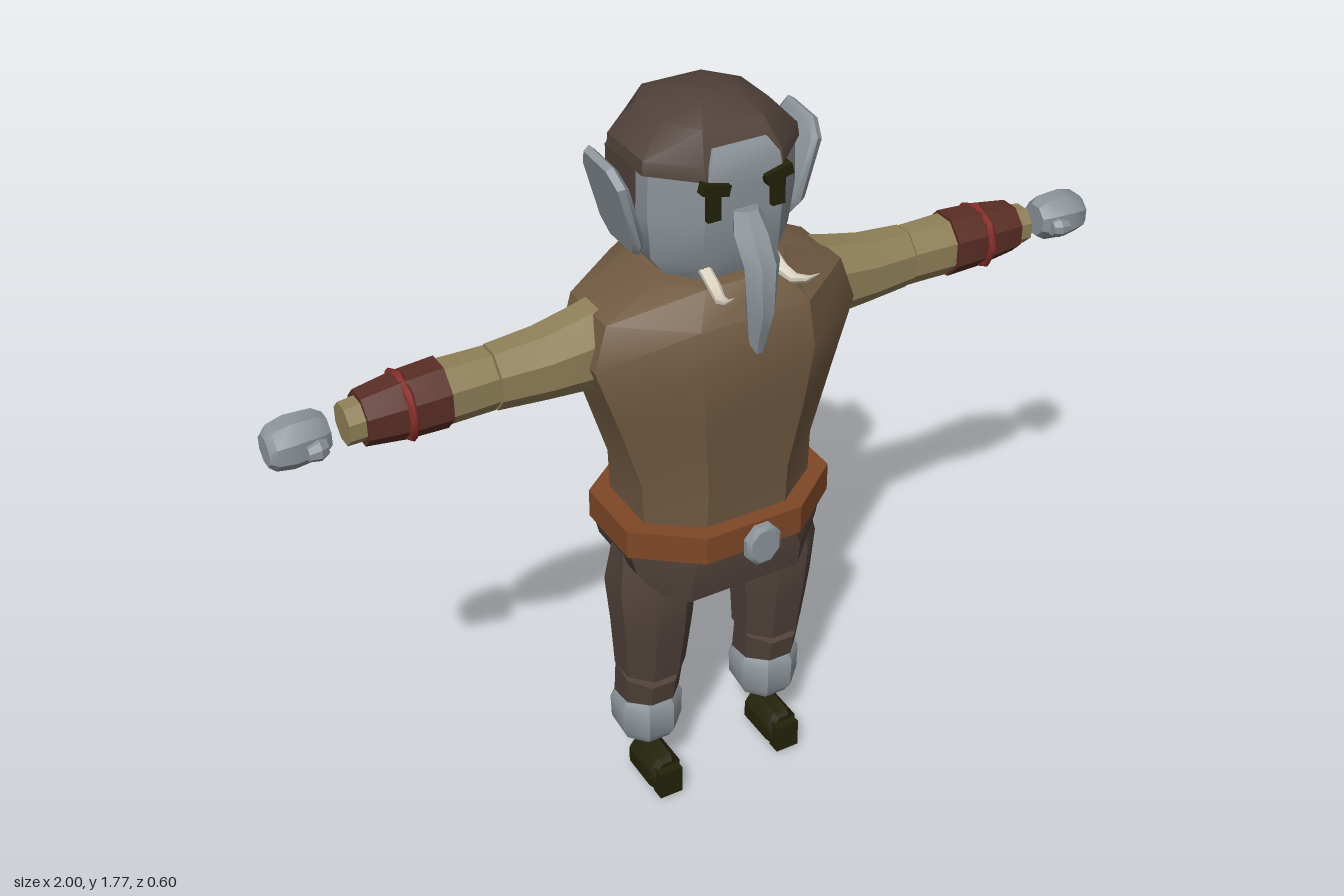
import * as THREE from 'three';
import { toCreasedNormals } from 'three/addons/utils/BufferGeometryUtils.js';

const mat = (name, color, side = THREE.FrontSide) =>
  Object.assign(new THREE.MeshStandardMaterial({ color, side }), { name });

// Skin a solid through cross-sections that share one point count; ends are capped
function loft(rings, crease = 0.6) {
  const n = rings[0].length, last = rings.length - 1;
  let tris = [];
  for (let r = 0; r < last; r++) {
    for (let i = 0; i < n; i++) {
      const j = (i + 1) % n;
      const [a, b, c, d] = [rings[r][i], rings[r][j], rings[r + 1][j], rings[r + 1][i]];
      tris.push([a, b, c], [a, c, d]);
    }
  }
  for (let i = 1; i < n - 1; i++) {
    tris.push([rings[0][0], rings[0][i + 1], rings[0][i]]);
    tris.push([rings[last][0], rings[last][i], rings[last][i + 1]]);
  }
  // Turn the faces outward whichever way the sections run
  const o = new THREE.Vector3(...rings[0][0]);
  let volume = 0;
  for (const t of tris) {
    const [a, b, c] = t.map((p) => new THREE.Vector3(...p).sub(o));
    volume += a.dot(b.cross(c));
  }
  if (volume < 0) tris = tris.map(([a, b, c]) => [a, c, b]);
  const g = new THREE.BufferGeometry();
  g.setAttribute('position', new THREE.Float32BufferAttribute(tris.flat(2), 3));
  return toCreasedNormals(g, crease);
}

// Octagon spanned by two half-axis vectors, flat sides on the axes
function oct(c, u, v) {
  return Array.from({ length: 8 }, (_, i) => {
    const a = ((i + 0.5) * Math.PI) / 4, k = 1 / Math.cos(Math.PI / 8);
    return c.map((e, q) => e + k * (Math.cos(a) * u[q] + Math.sin(a) * v[q]));
  });
}
const octY = (x, y, z, rx, rz) => oct([x, y, z], [rx, 0, 0], [0, 0, rz]);
const octX = (x, y, z, ry, rz) => oct([x, y, z], [0, ry, 0], [0, 0, rz]);

// Horizontal octagon: half width, front and back z, half width of front face, half depth of side face
function slab(y, hx, zf, zb, fx, sz, zc = (zf + zb) / 2) {
  return [[fx, y, zf], [hx, y, zc + sz], [hx, y, zc - sz], [fx, y, zb],
    [-fx, y, zb], [-hx, y, zc - sz], [-hx, y, zc + sz], [-fx, y, zf]];
}

export function createModel() {
  const model = new THREE.Group();
  model.name = 'elephantHeadedFigure';
  const skin = mat('greySkin', 0x8c949a);
  const vest = mat('vestBrown', 0x715a42);
  const dark = mat('darkBrown', 0x50413a);
  const sleeve = mat('khakiSleeve', 0x8f8058);
  const leather = mat('beltLeather', 0x7e4726);
  const bracer = mat('bracerBrown', 0x5a2e25);
  const red = mat('redCord', 0x8a2f2b);
  const black = mat('blackOlive', 0x232209);
  const ivory = mat('ivory', 0xddd5c2);

  const add = (name, geometry, material) => {
    const m = new THREE.Mesh(geometry, material);
    m.name = name;
    model.add(m);
    return m;
  };

  // Torso, belt and hips
  add('torso', loft([
    slab(0.78, 0.21, 0.19, -0.13, 0.1, 0.08), slab(0.93, 0.215, 0.2, -0.14, 0.1, 0.08),
    slab(1.1, 0.268, 0.225, -0.165, 0.12, 0.08), slab(1.25, 0.318, 0.238, -0.182, 0.135, 0.08),
    slab(1.35, 0.285, 0.22, -0.18, 0.13, 0.08), slab(1.415, 0.15, 0.17, -0.14, 0.09, 0.07),
  ]), vest);
  add('belt', loft([
    slab(0.76, 0.26, 0.23, -0.17, 0.12, 0.09), slab(0.83, 0.26, 0.23, -0.17, 0.12, 0.09),
  ]), leather);
  add('hips', loft([
    slab(0.635, 0.19, 0.19, -0.14, 0.14, 0.1), slab(0.7, 0.235, 0.2, -0.15, 0.14, 0.09),
    slab(0.765, 0.25, 0.2, -0.155, 0.12, 0.09),
  ]), dark);
  const plate = (z, hx, hy) => oct([0, 0.795, z], [hx, 0, 0], [0, hy, 0]);
  add('buckle', loft([plate(0.248, 0.034, 0.04), plate(0.255, 0.043, 0.05),
    plate(0.268, 0.043, 0.05), plate(0.276, 0.034, 0.04)]), skin);

  // Head and hair
  add('head', loft([
    slab(1.4, 0.12, 0.13, -0.1, 0.07, 0.05), slab(1.46, 0.165, 0.155, -0.13, 0.09, 0.06),
    slab(1.56, 0.175, 0.165, -0.145, 0.09, 0.07), slab(1.67, 0.172, 0.164, -0.145, 0.09, 0.07),
  ]), skin);
  add('hairCap', loft([
    slab(1.655, 0.184, 0.169, -0.165, 0.09, 0.075), slab(1.685, 0.18, 0.162, -0.163, 0.09, 0.075),
    slab(1.745, 0.125, 0.12, -0.13, 0.07, 0.055), slab(1.775, 0.06, 0.05, -0.06, 0.035, 0.025),
  ]), dark);
  const backHair = (y, hx, zb) => [[hx, y, 0.03], [hx, y, -0.08], [0.09, y, zb],
    [-0.09, y, zb], [-hx, y, -0.08], [-hx, y, 0.03]];
  add('backHair', loft([backHair(1.465, 0.176, -0.158), backHair(1.56, 0.184, -0.165),
    backHair(1.66, 0.184, -0.165)]), dark);
  const brow = (y, hx, z) => [[hx, y, z], [hx, y, z - 0.05], [-hx, y, z - 0.05], [-hx, y, z]];
  add('forehead', loft([brow(1.64, 0.088, 0.172), brow(1.685, 0.08, 0.17),
    brow(1.713, 0.062, 0.152)]), skin);
  const tuft = (x) => [[x, 1.71, -0.15], [x, 1.58, -0.206], [x, 1.61, -0.155]];
  add('hairTuft', loft([tuft(-0.02), tuft(0.02)]), dark);

  // Trunk: y, front z, back z, half width
  add('trunk', loft([
    [1.585, 0.2, 0.15, 0.03], [1.545, 0.232, 0.165, 0.042], [1.49, 0.266, 0.213, 0.042],
    [1.38, 0.268, 0.21, 0.033], [1.32, 0.25, 0.213, 0.025], [1.27, 0.235, 0.222, 0.014],
  ].map(([y, zf, zb, w]) => [[w * 0.4, y, zf], [w, y - 0.005, (zf + zb) / 2], [w * 0.6, y - 0.01, zb],
    [-w * 0.6, y - 0.01, zb], [-w, y - 0.005, (zf + zb) / 2], [-w * 0.4, y, zf]])), skin);

  // Tail
  add('tail', loft([octY(0, 0.76, -0.16, 0.014, 0.014), octY(0, 0.37, -0.27, 0.012, 0.012)]), skin);
  add('tailTip', loft([octY(0, 0.24, -0.285, 0.016, 0.014), octY(0, 0.27, -0.283, 0.024, 0.022),
    octY(0, 0.35, -0.275, 0.024, 0.022), octY(0, 0.405, -0.265, 0.012, 0.012)]), skin);

  for (const s of [1, -1]) {
    const side = s > 0 ? 'left' : 'right';
    const bar = (name, rings, material) => add(side + name, loft(rings), material);

    // Ear: rounded slab leaning outward; z, y outline
    const outline = [[0.05, 1.462], [0.08, 1.5], [0.085, 1.64], [0.05, 1.675],
      [-0.05, 1.682], [-0.078, 1.64], [-0.078, 1.5], [-0.05, 1.462]];
    const ear = (off, k) => outline.map(([z, y]) => [s * (0.168 + off + (y - 1.46) * 0.25),
      1.57 + (y - 1.57) * k, z * k]);
    bar('Ear', [ear(0, 0.9), ear(0.012, 1), ear(0.026, 0.92)], skin);

    // Eye and slanted brow
    const eye = add(side + 'Eye', new THREE.BoxGeometry(0.03, 0.06, 0.02), black);
    eye.position.set(s * 0.075, 1.6, 0.168);
    const eyebrow = add(side + 'Eyebrow', new THREE.BoxGeometry(0.062, 0.024, 0.024), black);
    eyebrow.position.set(s * 0.073, 1.641, 0.173);
    eyebrow.rotation.z = s * 0.25;

    // Tusk curving forward and up: x, y, z, radius
    bar('Tusk', [[0.078, 1.448, 0.14, 0.013], [0.08, 1.425, 0.19, 0.013], [0.088, 1.418, 0.225, 0.011],
      [0.096, 1.435, 0.265, 0.007], [0.1, 1.462, 0.297, 0.001]].map(([x, y, z, r]) =>
      oct([s * x, y, z], [r, 0, 0], [0, r, 0])), ivory);

    // Arm
    const arm = (list) => list.map(([x, ry, rz, y = 1.25, z = 0.012]) => octX(s * x, y, z, ry, rz));
    bar('UpperArm', arm([[0.26, 0.1, 0.07, 1.26], [0.31, 0.088, 0.072, 1.257],
      [0.4, 0.076, 0.066], [0.508, 0.068, 0.058]]), sleeve);
    bar('Forearm', arm([[0.512, 0.066, 0.056], [0.56, 0.066, 0.058], [0.63, 0.067, 0.06]]), sleeve);
    bar('Bracer', arm([[0.62, 0.072, 0.066, 1.252, 0.014], [0.71, 0.068, 0.064, 1.252, 0.017],
      [0.8, 0.056, 0.054, 1.252, 0.02]]), bracer);
    bar('Wrist', arm([[0.79, 0.045, 0.044, 1.252, 0.02], [0.836, 0.043, 0.042, 1.25, 0.022]]), sleeve);
    const cord = add(side + 'BracerCord', new THREE.TorusGeometry(0.07, 0.01, 6, 8), red);
    cord.rotation.y = Math.PI / 2;
    cord.position.set(s * 0.708, 1.252, 0.017);

    // Hand and thumb
    bar('Hand', arm([[0.872, 0.036, 0.034, 1.25, 0.025], [0.892, 0.048, 0.046, 1.25, 0.025],
      [0.95, 0.052, 0.05, 1.248, 0.025], [0.986, 0.045, 0.044, 1.246, 0.025],
      [1, 0.032, 0.032, 1.244, 0.025]]), skin);
    bar('Thumb', arm([[0.888, 0.017, 0.017, 1.244, 0.068], [0.905, 0.022, 0.02, 1.244, 0.074],
      [0.93, 0.015, 0.014, 1.242, 0.076]]), skin);

    // Leg
    const leg = (list) => list.map(([y, x, rx, z, rz]) => octY(s * x, y, z, rx, rz));
    bar('Thigh', leg([[0.78, 0.15, 0.08, 0.03, 0.05], [0.62, 0.16, 0.098, 0.04, 0.1],
      [0.5, 0.16, 0.088, 0.04, 0.092], [0.36, 0.16, 0.077, 0.03, 0.08]]), dark);
    bar('Shin', [oct([s * 0.163, 0.355, 0.03], [0.074, 0, 0], [0, -0.02, 0.072]),
      oct([s * 0.163, 0.265, 0.015], [0.07, 0, 0], [0, 0.01, 0.078])], dark);
    const cuff = (y, rx, rz, tilt) => oct([s * 0.164, y, 0.014], [rx, 0, 0], [0, tilt, rz]);
    bar('AnkleCuff', [cuff(0.155, 0.066, 0.06, -0.012), cuff(0.18, 0.078, 0.076, -0.01),
      cuff(0.245, 0.08, 0.078, 0.004), cuff(0.264, 0.07, 0.068, 0.002)], skin);

    // Foot with toe block
    bar('Foot', [[-0.012, 0.03, 0.04], [0.0, 0.042, 0.053], [0.1, 0.042, 0.053], [0.115, 0.032, 0.043]]
      .map(([z, rx, ry]) => oct([s * 0.164, 0.054, z], [rx, 0, 0], [0, ry, 0])), black);
    const toe = add(side + 'Toe', new THREE.BoxGeometry(0.06, 0.075, 0.035), black);
    toe.position.set(s * 0.164, 0.048, 0.118);
  }
  return model;
}
